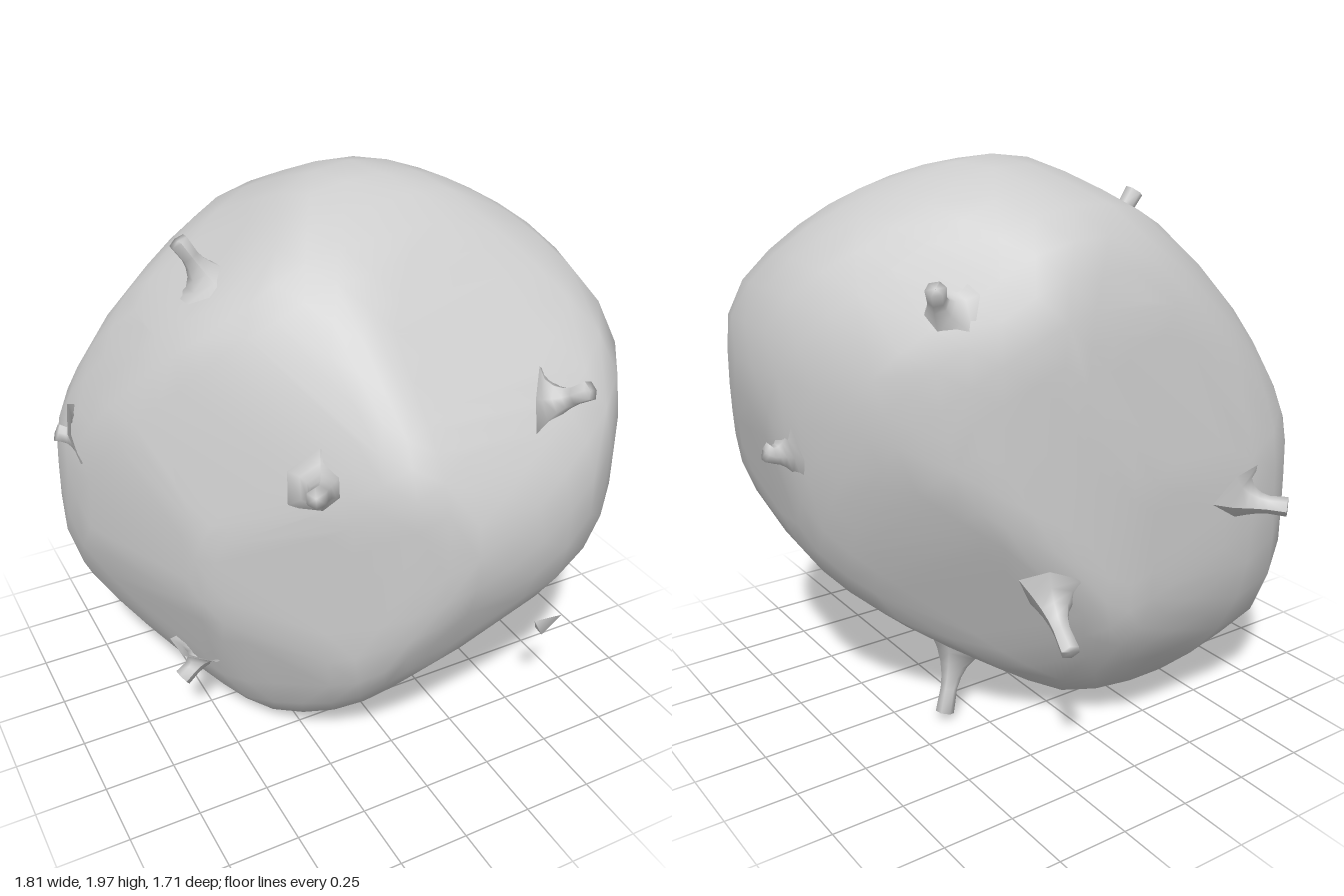
import * as THREE from 'three';
import { mergeVertices } from 'three/addons/utils/BufferGeometryUtils.js';
import { ConvexGeometry } from 'three/addons/geometries/ConvexGeometry.js';

const CENTRE = new THREE.Vector3(0, 1, 0);

// Flat slope on the lower left front: its outward normal and distance from the centre
const SLOPE = new THREE.Vector3(0.54, -0.84, 0.4).normalize();
const SLOPE_DISTANCE = 0.73;

// Outlines that carve the body: azimuth, elevation, radii at even bearings round the centre
const OUTLINES = [
  [0, 0, [.84, .97, 1.04, 1.02, .975, .83, .79, .8, .87, .95, .99, 1.06, .91, .79, .79, .83]],
  [90, 0, [.71, .72, .86, 1.03, .98, .81, .75, .79, .85, .82, .86, .95, .99, 1, .91, .78]],
  [0, 90, [.87, .75, .69, .67, .7, .77, .97, .95, .72, .65, .6, .66, .8, .91, .98, .95]],
  [33, 22, [.73, .79, .85, .97, .93, .79, .79, .7, .65, .69, .78, .97, .84, .8, .81, .74]],
  [213, 22, [.61, .6, .67, .78, .88, 1.04, 1.03, .81, .69, .65, .69, .86, 1.08, 1.01, .8, .71]],
  [147, -22, [1, .91, .89, .97, 1.01, 1.01, 1.04, 1.06, 1.03, .91, .81, .91, 1.02, 1.06, 1.02, 1.09]],
].map(([azimuth, elevation, radii]) => {
  const a = THREE.MathUtils.degToRad(azimuth), e = THREE.MathUtils.degToRad(elevation);
  return {
    radii,
    across: new THREE.Vector3(Math.cos(a), 0, -Math.sin(a)),
    up: new THREE.Vector3(-Math.sin(a) * Math.sin(e), Math.cos(e), -Math.cos(a) * Math.sin(e)),
  };
});

// Smooth closed curve through the radii
function outlineRadius(radii, angle) {
  const n = radii.length, f = ((angle / (2 * Math.PI) + 1) % 1) * n, i = Math.floor(f), t = f - i;
  const [a, b, c, d] = [-1, 0, 1, 2].map((k) => radii[(i + k + n) % n]);
  return b + 0.5 * t * (c - a + t * (2 * a - 5 * b + 4 * c - d + t * (3 * (b - c) + d - a)));
}

// Distance from the centre to the nearest outline, or the slope, along a direction
function carve(dir) {
  const slope = SLOPE_DISTANCE / Math.max(dir.dot(SLOPE), 0.01);
  return Math.min(slope, ...OUTLINES.map(({ radii, across, up }) => {
    const u = dir.dot(across), v = dir.dot(up);
    return outlineRadius(radii, Math.atan2(v, u)) / Math.max(Math.hypot(u, v), 0.01);
  }));
}

// Average over a small cone of directions to round off the ridges
function bodyRadius(dir) {
  const side = new THREE.Vector3(0.31, 0.9, 0.23).cross(dir).normalize();
  const other = new THREE.Vector3().crossVectors(dir, side);
  let sum = carve(dir), count = 1;
  for (const spread of [0.06, 0.12]) {
    for (let k = 0; k < 8; k++, count++) {
      const a = k * Math.PI / 4;
      sum += carve(dir.clone().addScaledVector(side, spread * Math.cos(a))
        .addScaledVector(other, spread * Math.sin(a)).normalize());
    }
  }
  return sum / count;
}

// Convex skin over the carved points, smooth shaded
function bodyGeometry() {
  const ball = new THREE.IcosahedronGeometry(1, 8);
  ball.deleteAttribute('uv');
  ball.deleteAttribute('normal');
  const pos = mergeVertices(ball, 1e-3).attributes.position, points = [];
  for (let i = 0; i < pos.count; i++) {
    const p = new THREE.Vector3().fromBufferAttribute(pos, i).normalize();
    points.push(p.multiplyScalar(bodyRadius(p)).add(CENTRE));
  }
  const hull = new ConvexGeometry(points);
  hull.deleteAttribute('normal');
  const geo = mergeVertices(hull, 1e-4);
  geo.computeVertexNormals();
  return geo;
}

// Slightly bent stem with a flared foot sunk in the body and a blunt tip
function sproutGeometry(tip) {
  const dir = new THREE.Vector3(...tip).sub(CENTRE);
  const reach = dir.length();
  dir.normalize();
  const surface = bodyRadius(dir);
  const at = (r) => dir.clone().multiplyScalar(r).add(CENTRE);
  const end = at(Math.max(reach, surface + 0.05));
  const bend = at(surface + 0.03).add(new THREE.Vector3(0.02, -0.02, 0));
  const curve = new THREE.QuadraticBezierCurve3(at(surface - 0.03), bend, end);
  const radii = [0.12, 0.075, 0.05, 0.036, 0.03, 0.033, 0.001], sides = 6;
  const geo = new THREE.TubeGeometry(curve, radii.length - 1, 1, sides);
  const pos = geo.attributes.position, p = new THREE.Vector3();
  for (let i = 0; i < pos.count; i++) {
    const ring = Math.floor(i / (sides + 1));
    const middle = curve.getPointAt(ring / (radii.length - 1));
    // The last two rings share one plane, so the tip is cut flat
    const target = ring === radii.length - 2 ? end : middle;
    p.fromBufferAttribute(pos, i).sub(middle).multiplyScalar(radii[ring]).add(target);
    pos.setXYZ(i, p.x, p.y, p.z);
  }
  geo.computeVertexNormals();
  return geo;
}

const SPROUT_TIPS = [
  [-.48, 1.82, -.09], [-.39, 1.28, .68], [-.84, 1.12, -.3], [-.64, .26, .1],
  [.5, 1.46, .77], [.42, .58, .6], [.37, .04, -.14], [.87, 1.08, .04],
  [-.54, .86, -.85], [.28, .53, -.75], [.55, 1.65, -.43],
];

export function createModel() {
  const group = new THREE.Group();
  const material = new THREE.MeshStandardMaterial({ color: 0xcccccc, side: THREE.DoubleSide });
  const add = (name, geometry) => {
    const mesh = new THREE.Mesh(geometry, material);
    mesh.name = name;
    group.add(mesh);
    return mesh;
  };
  add('tuberBody', bodyGeometry());
  SPROUT_TIPS.forEach((tip, i) => add(`sprout${i + 1}`, sproutGeometry(tip)));
  // Small loose sliver under the front
  const flake = add('looseFlake', new THREE.ConeGeometry(0.03, 0.1, 3));
  flake.position.set(0.53, 0.49, 0.67);
  flake.rotation.set(0.4, 0, -1.2);
  return group;
}
